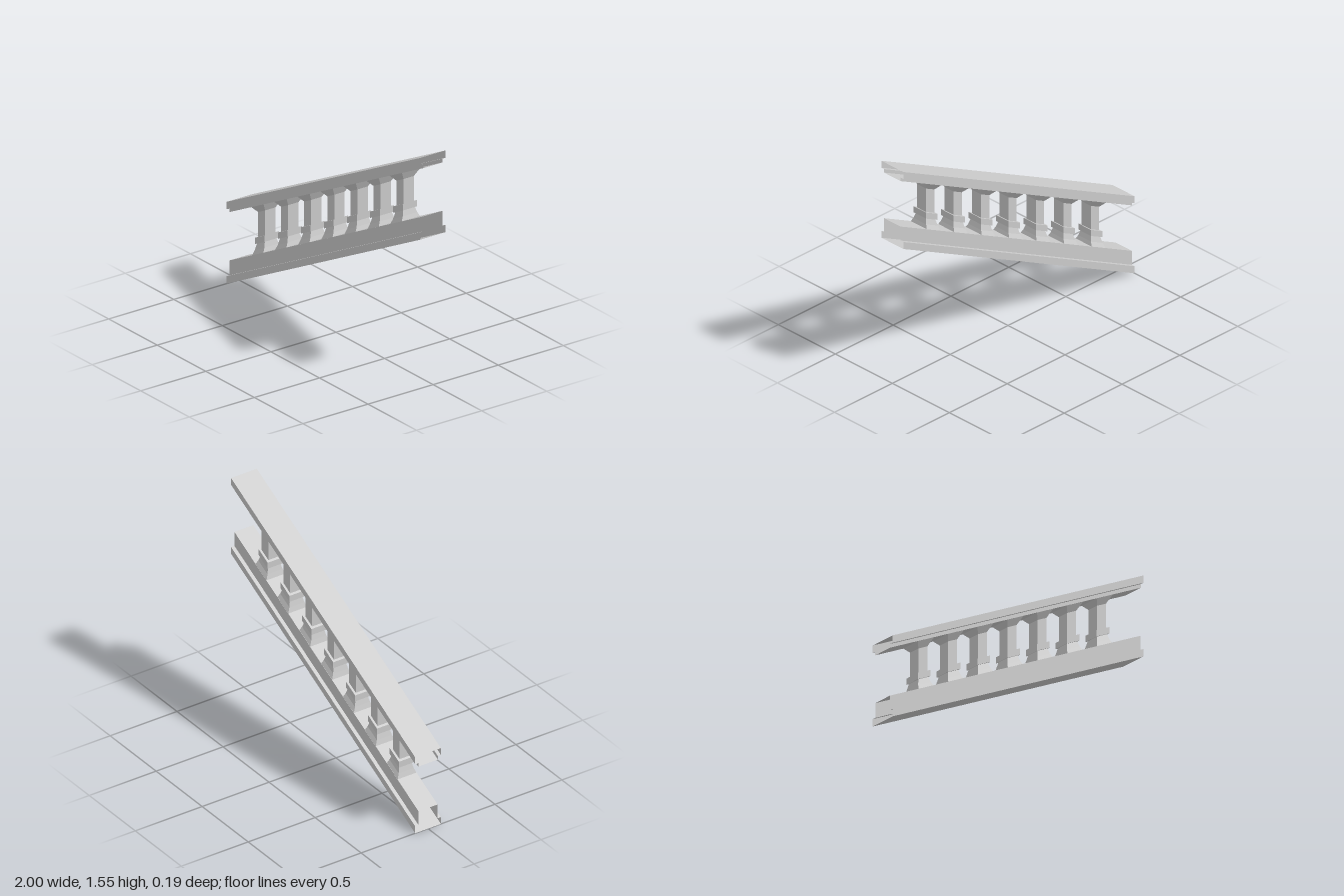
import * as THREE from 'three';

const SLOPE = 0.5;       // rise per unit of x
const COUNT = 7;
const SPACING = 0.2375;

const material = new THREE.MeshStandardMaterial({
  color: 0xcccccc, flatShading: true, side: THREE.DoubleSide,
});

// Open-ended skin over a series of closed rings, sheared to follow the stair slope
function skin(name, rings) {
  const pos = [];
  for (let r = 0; r < rings.length - 1; r++) {
    const a = rings[r], b = rings[r + 1], n = a.length;
    for (let i = 0; i < n; i++) {
      const j = (i + 1) % n;
      for (const [x, y, z] of [a[i], a[j], b[j], a[i], b[j], b[i]]) {
        pos.push(x, y + SLOPE * x, z);
      }
    }
  }
  const geometry = new THREE.BufferGeometry();
  geometry.setAttribute('position', new THREE.Float32BufferAttribute(pos, 3));
  geometry.computeVertexNormals();
  const mesh = new THREE.Mesh(geometry, material);
  mesh.name = name;
  return mesh;
}

// Hollow rail: half profile [halfDepth, y] from bottom to top, mirrored in z
function rail(name, half) {
  const profile = [
    ...half.map(([z, y]) => [-z, y]),
    ...half.slice().reverse(),
  ];
  return skin(name, [-1, 1].map((x) => profile.map(([z, y]) => [x, y, z])));
}

// Rectangular sections [y, halfWidth, halfDepth] stacked upwards
function stack(name, sections) {
  return skin(name, sections.map(([y, w, d]) => [
    [w, y, d], [w, y, -d], [-w, y, -d], [-w, y, d],
  ]));
}

function baluster() {
  const group = new THREE.Group();
  group.name = 'baluster';
  group.add(
    stack('balusterBase', [[0.65, 0.059, 0.07], [0.68, 0.05, 0.056], [0.72, 0.04, 0.045]]),
    stack('balusterCollar', [
      [0.72, 0.036, 0.04], [0.72, 0.05, 0.055], [0.763, 0.05, 0.055], [0.763, 0.036, 0.04],
    ]),
    stack('balusterShaft', [[0.763, 0.036, 0.04], [0.93, 0.036, 0.04]]),
    stack('balusterCapital', [[0.93, 0.036, 0.04], [0.975, 0.064, 0.072]]),
  );
  return group;
}

export function createModel() {
  const model = new THREE.Group();
  model.name = 'stairBalustrade';

  // Bottom rail with a wide foot, handrail with a wide top
  model.add(rail('bottomRail', [[0.096, 0.5], [0.096, 0.55], [0.071, 0.55], [0.071, 0.65]]));
  model.add(rail('handrail', [[0.073, 0.975], [0.073, 1.0], [0.096, 1.0], [0.096, 1.05]]));

  // Balusters climbing the slope
  for (let i = 0; i < COUNT; i++) {
    const x = (i - (COUNT - 1) / 2) * SPACING;
    const post = baluster();
    post.position.set(x, SLOPE * x, 0);
    model.add(post);
  }
  return model;
}
